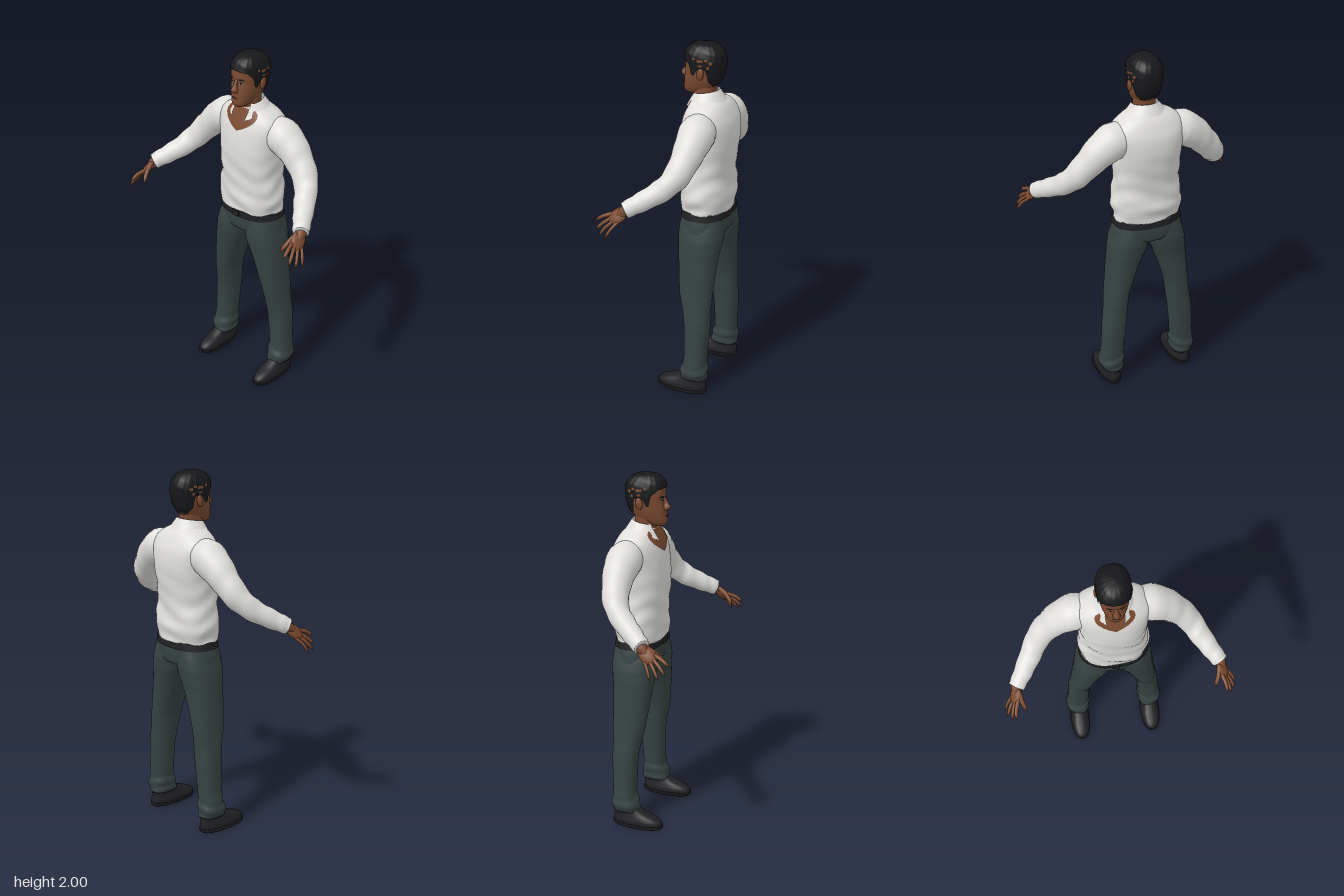
import * as THREE from 'three';

const V = (x, y, z) => new THREE.Vector3(x, y, z);
const material = (name, color, side = THREE.FrontSide) => {
  const m = new THREE.MeshStandardMaterial({ color, side });
  m.name = name;
  return m;
};

// Surface from a rule f(u, v); closed wraps u round
function grid(f, nu, nv, closed = false) {
  const pos = [], idx = [], w = closed ? nu : nu + 1;
  for (let j = 0; j <= nv; j++) for (let i = 0; i < w; i++) pos.push(...f(i / nu, j / nv));
  for (let j = 0; j < nv; j++) for (let i = 0; i < nu; i++) {
    const a = j * w + i, b = j * w + (i + 1) % w;
    idx.push(a, b, b + w, a, b + w, a + w);
  }
  const g = new THREE.BufferGeometry();
  g.setAttribute('position', new THREE.Float32BufferAttribute(pos, 3));
  g.setIndex(idx);
  g.computeVertexNormals();
  return g;
}

// Rows are [y, centreX, halfWidth, zFront, zBack], rising in y; smooth lookup at any y
function rowAt(rows, y) {
  const n = rows.length - 1;
  let k = 0;
  while (k < n - 1 && y > rows[k + 1][0]) k++;
  const slope = (i, c) => {
    const a = rows[Math.max(i - 1, 0)], b = rows[Math.min(i + 1, n)];
    return (b[c] - a[c]) / (b[0] - a[0]);
  };
  const a = rows[k], b = rows[k + 1], h = b[0] - a[0];
  const t = THREE.MathUtils.clamp((y - a[0]) / h, 0, 1), t2 = t * t, t3 = t2 * t;
  return a.map((_, c) => c === 0 ? y
    : (2 * t3 - 3 * t2 + 1) * a[c] + (t3 - 2 * t2 + t) * h * slope(k, c)
      + (3 * t2 - 2 * t3) * b[c] + (t3 - t2) * h * slope(k + 1, c));
}

// Point on a lofted body: angle 0 is the front, growing towards +x
function bodyPoint(rows, y, th, off = 0, p = 0.85) {
  const [, cx, rx, zf, zb] = rowAt(rows, y);
  const s = Math.sin(th), c = Math.cos(th), e = q => Math.sign(q) * Math.abs(q) ** p;
  return [cx + (Math.max(rx, 0) + off) * e(s), y, (zf + zb) / 2 + (Math.max(zf - zb, 0) / 2 + off) * e(c)];
}

// Closed loft through the rows, capped at both ends
function loft(rows, { sides = 40, sub = 4, wrinkle = () => 0, p = 0.85 } = {}) {
  const nv = (rows.length - 1) * sub, n = rows.length - 1;
  return grid((u, v) => {
    const j = Math.round(v * (nv + 2)) - 1, th = u * Math.PI * 2;
    const end = j < 0 || j > nv, q = Math.min(Math.max(j, 0), nv) / sub;
    const k = Math.min(Math.floor(q), n - 1);
    const y = rows[k][0] + (rows[k + 1][0] - rows[k][0]) * (q - k);
    if (end) { const r = rowAt(rows, y); return [r[1], y, (r[3] + r[4]) / 2]; }
    return bodyPoint(rows, y, th, wrinkle(th, y), p);
  }, sides, nv + 2, true);
}

// Thin patch lying on a lofted body
const patch = (rows, t0, t1, low, high, off, p = 0.85, n = 12) => grid((u, v) => {
  const th = t0 + (t1 - t0) * u, a = low(th), b = high(th);
  return bodyPoint(rows, a + (b - a) * v, th, off, p);
}, n, 6);

// Tapered tube along a smooth path
function limb(points, radii, seg = 40, sides = 20, fold = 0) {
  const curve = new THREE.CatmullRomCurve3(points), { normals, binormals } = curve.computeFrenetFrames(seg, false);
  return grid((u, v) => {
    const j = Math.round(v * seg), q = v * (radii.length - 1), k = Math.min(Math.floor(q), radii.length - 2);
    const r = THREE.MathUtils.lerp(radii[k], radii[k + 1], q - k), a = u * Math.PI * 2;
    const rr = r * (1 + fold * Math.sin(v * 48 + 2 * Math.sin(a)) * Math.min(1, v * 2));
    return curve.getPoint(v).addScaledVector(normals[j], rr * Math.cos(a))
      .addScaledVector(binormals[j], rr * Math.sin(a)).toArray();
  }, sides, seg, true);
}

function mirrored(geo) {
  const g = geo.clone().applyMatrix4(new THREE.Matrix4().makeScale(-1, 1, 1)), ix = g.index;
  for (let i = 0; i < ix.count; i += 3) {
    const t = ix.getX(i);
    ix.setX(i, ix.getX(i + 1));
    ix.setX(i + 1, t);
  }
  g.computeVertexNormals();
  return g;
}

export function createModel() {
  const model = new THREE.Group();
  model.name = 'standingMan';
  const skin = material('skin', 0x7a4a30), lip = material('lips', 0x4a2a20), white = material('eyeWhite', 0x9a8f88);
  const hair = material('hair', 0x17181a, THREE.DoubleSide), shirt = material('shirt', 0xdfdedb, THREE.DoubleSide);
  const cloth = material('trousers', 0x374242), leather = material('shoes', 0x202124);
  const beltMat = material('belt', 0x1d2021, THREE.DoubleSide);
  const add = (name, geo, mat) => {
    const m = new THREE.Mesh(geo, mat);
    m.name = name;
    model.add(m);
  };
  const pair = (name, geo, mat) => {
    add(name + 'Left', geo, mat);
    add(name + 'Right', mirrored(geo), mat);
  };

  // Shirt body, with soft folds at the waist
  const torso = [
    [1.078, 0, 0.186, 0.012, -0.25], [1.11, 0, 0.186, 0.013, -0.252], [1.16, 0, 0.197, 0.018, -0.262],
    [1.21, 0, 0.193, 0.015, -0.255], [1.3, 0, 0.181, 0.02, -0.252], [1.42, 0, 0.184, 0.027, -0.267],
    [1.5, 0, 0.192, 0.022, -0.274], [1.58, 0, 0.205, 0.008, -0.265], [1.63, 0, 0.195, -0.008, -0.245],
    [1.67, 0, 0.152, -0.025, -0.222], [1.7, 0, 0.095, -0.036, -0.193], [1.72, 0, 0.066, -0.045, -0.165]];
  const fade = y => THREE.MathUtils.clamp((1.5 - y) * 5, 0, 1);
  add('shirtBody', loft(torso, {
    sides: 64, sub: 6,
    wrinkle: (th, y) => fade(y) * (0.003 * Math.sin(5 * th + 22 * y) + 0.003 * Math.sin(55 * y + 3 * Math.sin(2 * th))),
  }), shirt);
  add('openNeck', patch(torso, -0.75, 0.75, t => 1.575 + 0.14 * Math.abs(t), () => 1.7, 0.004), skin);

  // Folded collar
  add('collar', grid((u, v) => {
    const gap = 0.42 + 0.36 * v, th = gap + (2 * Math.PI - 2 * gap) * u;
    const s = Math.sin(th), c = Math.cos(th), f = Math.max(0, c) ** 2;
    const low = [0.108 * s, 1.69 - 0.06 * f, -0.11 + (c > 0 ? 0.123 : 0.098) * c];
    const high = [0.07 * s, 1.735 - 0.012 * c, -0.1 + 0.072 * c];
    return low.map((a, i) => a + (high[i] - a) * v);
  }, 40, 4), shirt);

  // Sleeves
  pair('sleeve', limb([V(0.12, 1.575, -0.13), V(0.2, 1.558, -0.136), V(0.27, 1.513, -0.135), V(0.335, 1.45, -0.126),
    V(0.4, 1.372, -0.1), V(0.445, 1.315, -0.045), V(0.495, 1.266, 0.03), V(0.53, 1.238, 0.08), V(0.553, 1.22, 0.112),
    V(0.556, 1.217, 0.116)], [0.085, 0.1, 0.09, 0.077, 0.069, 0.062, 0.054, 0.048, 0.044, 0], 72, 24, 0.03), shirt);

  // Hands: palm, four fingers and a thumb
  const wrist = V(0.548, 1.224, 0.1), d = V(0.25, -0.6, 0.75).normalize();
  const a = V(0.06, -0.065, -0.085).normalize(), n = d.clone().cross(a).normalize();
  a.crossVectors(n, d);
  const at = (along, across) => wrist.clone().addScaledVector(d, along).addScaledVector(a, across);
  pair('palm', new THREE.SphereGeometry(1, 20, 14).scale(0.062, 0.041, 0.02)
    .applyMatrix4(new THREE.Matrix4().makeBasis(d, a, n).setPosition(at(0.06, 0))), skin);
  pair('wrist', limb([at(-0.02, 0), at(0.02, 0), at(0.06, 0)], [0.033, 0.031, 0.02], 10, 16), skin);
  const finger = (name, base, tip, r) => {
    const mid = base.clone().lerp(tip, 0.5).add(V(0.005, 0.006, 0.003));
    pair(name, limb([base, mid, tip], [r, r, r * 0.95, r * 0.85, 0], 16, 10), skin);
  };
  [[0.576, 1.142, 0.275], [0.602, 1.1, 0.262], [0.626, 1.08, 0.233], [0.637, 1.074, 0.192]].forEach((tip, i) =>
    finger('finger' + (i + 1), at(0.09 - 0.004 * (i - 1) ** 2, (i - 1.5) * 0.02), V(...tip), 0.0115 - 0.0008 * i));
  finger('thumb', at(0.035, -0.025), V(0.512, 1.135, 0.232), 0.0135);

  // Trousers: seat, legs and belt
  const seat = [[0.93, 0, 0.1, -0.06, -0.18], [0.95, 0, 0.19, -0.01, -0.235], [1.0, 0, 0.2, 0.006, -0.25],
    [1.05, 0, 0.19, 0.008, -0.25], [1.085, 0, 0.183, 0.006, -0.246]];
  add('trouserSeat', loft(seat), cloth);
  pair('trouserLeg', loft([
    [0.09, 0.224, 0.06, -0.052, -0.207], [0.115, 0.224, 0.066, -0.05, -0.212], [0.15, 0.224, 0.071, -0.06, -0.211],
    [0.2, 0.22, 0.065, -0.074, -0.205], [0.4, 0.206, 0.067, -0.07, -0.215], [0.5, 0.194, 0.065, -0.055, -0.215],
    [0.6, 0.183, 0.065, -0.032, -0.22], [0.8, 0.141, 0.088, -0.01, -0.23], [0.9, 0.115, 0.104, 0.002, -0.244],
    [0.96, 0.105, 0.102, 0.004, -0.248], [1.06, 0.095, 0.08, -0.01, -0.235]], {
    sides: 32, sub: 6,
    wrinkle: (th, y) => 0.004 * Math.sin(95 * y + 2 * Math.sin(th)) * THREE.MathUtils.clamp(1.4 - y * 4.5, 0.1, 1),
  }), cloth);
  add('belt', patch(seat, 0, Math.PI * 2, () => 1.046, t => 1.084 + 0.006 * Math.sin(7 * t), 0.006, 0.85, 64), beltMat);
  add('buckle', new THREE.BoxGeometry(0.04, 0.036, 0.009).translate(0, 1.066, 0.017), leather);

  // Shoes
  pair('shoeSole', loft([[0, 0.224, 0.057, 0.082, -0.205], [0.008, 0.224, 0.061, 0.09, -0.21],
    [0.02, 0.224, 0.061, 0.091, -0.21]], { sub: 2 }), leather);
  pair('shoeUpper', loft([[0.018, 0.224, 0.057, 0.087, -0.206], [0.04, 0.224, 0.056, 0.08, -0.206],
    [0.06, 0.224, 0.051, 0.05, -0.204], [0.08, 0.224, 0.047, -0.005, -0.202], [0.11, 0.224, 0.044, -0.06, -0.2]]), leather);

  // Neck and head
  add('neck', loft([[1.6, 0, 0.07, -0.045, -0.16], [1.68, 0, 0.06, -0.038, -0.158], [1.73, 0, 0.056, -0.032, -0.155],
    [1.79, 0, 0.056, -0.03, -0.16]]), skin);
  const head = [[1.715, 0, 0.022, 0.006, -0.05], [1.725, 0, 0.038, 0.02, -0.08], [1.745, 0, 0.052, 0.026, -0.125],
    [1.77, 0, 0.063, 0.023, -0.162], [1.8, 0, 0.072, 0.021, -0.183], [1.85, 0, 0.08, 0.013, -0.196],
    [1.9, 0, 0.083, 0.012, -0.201], [1.94, 0, 0.077, 0.005, -0.192], [1.97, 0, 0.057, -0.018, -0.165],
    [1.985, 0, 0.034, -0.05, -0.13], [1.993, 0, 0, -0.09, -0.09]];
  add('head', loft(head), skin);
  add('nose', loft([[1.798, 0, 0.008, 0.024, 0], [1.806, 0, 0.018, 0.038, 0], [1.82, 0, 0.018, 0.046, 0],
    [1.84, 0, 0.011, 0.034, 0], [1.87, 0, 0.009, 0.017, 0]], { sides: 20 }), skin);
  pair('ear', new THREE.SphereGeometry(1, 14, 10).scale(0.011, 0.033, 0.02).rotateX(-0.15).translate(0.087, 1.843, -0.1), skin);

  // Eyes, brows and mouth as thin plates
  const plate = (t0, t1, y0, y1, off) => {
    const arc = t => Math.sin(Math.PI * (t - t0) / (t1 - t0));
    return patch(head, t0, t1, t => (y0 + y1) / 2 - (y1 - y0) / 2 * arc(t), t => (y0 + y1) / 2 + (y1 - y0) / 2 * arc(t), off);
  };
  pair('eye', plate(0.16, 0.46, 1.848, 1.859, 0.002), white);
  pair('iris', plate(0.25, 0.37, 1.848, 1.86, 0.003), hair);
  pair('eyelid', plate(0.13, 0.5, 1.857, 1.863, 0.004), hair);
  pair('brow', plate(0.1, 0.58, 1.87, 1.883, 0.003), hair);
  add('mouth', plate(-0.3, 0.3, 1.764, 1.78, 0.003), lip);
  add('mouthLine', plate(-0.3, 0.3, 1.7705, 1.7745, 0.004), hair);

  // Short hair with a hairline that dips into sideburns and the nape
  const cap = head.map(([y, x, rx, zf, zb]) => [y + 0.007, x, rx ? rx + 0.007 : 0, rx ? zf + 0.008 : zf, rx ? zb - 0.008 : zb]);
  const line = [[0, 1.925], [0.7, 1.917], [1.1, 1.885], [1.25, 1.83], [1.42, 1.83], [1.52, 1.875], [1.85, 1.865],
    [2.05, 1.8], [2.6, 1.77], [3.15, 1.765]];
  const hairline = th => {
    const t = Math.min(th, 2 * Math.PI - th), k = Math.max(1, line.findIndex(q => q[0] >= t));
    const [p, q] = [line[k - 1], line[k]];
    return p[1] + (q[1] - p[1]) * (t - p[0]) / (q[0] - p[0]);
  };
  add('hair', grid((u, v) => {
    const th = u * Math.PI * 2, y0 = hairline(th), y = y0 + (2 - y0) * Math.sin(v * Math.PI / 2);
    const bump = v < 0.9 ? 0.002 * Math.sin(11 * th + 60 * y) * Math.sin(7 * th - 90 * y) : 0;
    return bodyPoint(cap, y, th, bump);
  }, 72, 28, true), hair);

  // Thin spots above the ears
  [[1.3, 1.42, 1.918, 1.93], [1.5, 1.72, 1.908, 1.922], [1.78, 1.92, 1.915, 1.927], [1.98, 2.15, 1.9, 1.915],
    [1.55, 1.68, 1.884, 1.894], [1.88, 2.0, 1.875, 1.89]]
    .forEach(([t0, t1, y0, y1], i) => pair('thinSpot' + (i + 1), patch(cap, t0, t1, () => y0, () => y1, 0.003), skin));

  return model;
}
